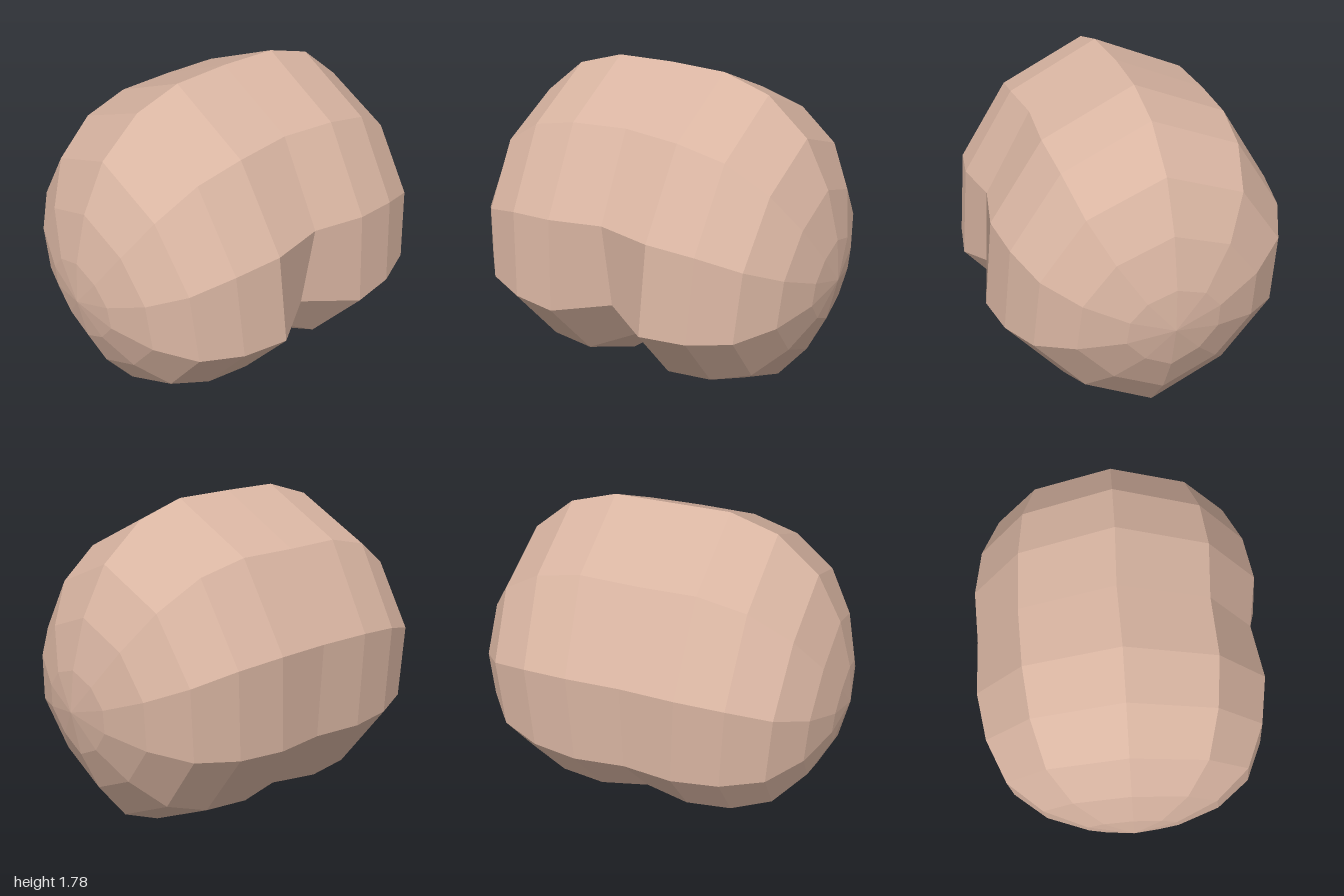
import * as THREE from 'three';

// Widest ring as [z, height above the pole], going top, front, bottom, back
const profile = [
  [-0.02, 1.0], [0.455, 0.77], [0.73, 0.34], [0.775, -0.155], [0.45, -0.54],
  [0, -0.775], [-0.47, -0.545], [-0.77, -0.16], [-0.78, 0.34], [-0.51, 0.78],
];

// Pinched ring on the middle plane as [z, y], with the notch below
const middle = [
  [-0.03, 1.785], [0.435, 1.565], [0.68, 1.13], [0.6, 0.645], [0.3, 0.33],
  [0, 0.195], [-0.41, 0.24], [-0.74, 0.62], [-0.77, 1.12], [-0.52, 1.56],
];

// Side rings: x at top, x at bottom, scale above, scale below, depth scale
const steps = [
  [0.31, 0.24, 1, 1, 1],
  [0.56, 0.48, 0.92, 0.98, 0.95],
  [0.78, 0.69, 0.73, 0.86, 0.83],
  [0.91, 0.85, 0.48, 0.59, 0.6],
  [0.98, 0.95, 0.22, 0.31, 0.31],
  [1, 1, 0, 0, 0],
];

const POLE_Y = 0.78;

function sideRing([xTop, xBottom, up, down, depth], side) {
  return profile.map(([z, h]) => {
    const t = (1 - h) / 1.775;
    return new THREE.Vector3(
      side * THREE.MathUtils.lerp(xTop, xBottom, t),
      POLE_Y + h * (h > 0 ? up : down),
      z * depth
    );
  });
}

// Skins the rings with quads, one flat normal for each quad
function skin(rings) {
  const pos = [], nor = [];
  for (let i = 0; i < rings.length - 1; i++) {
    const n = rings[i].length;
    for (let k = 0; k < n; k++) {
      const a = rings[i][k], b = rings[i][(k + 1) % n];
      const c = rings[i + 1][(k + 1) % n], d = rings[i + 1][k];
      const normal = c.clone().sub(a).cross(d.clone().sub(b)).normalize();
      for (const tri of [[a, b, c], [a, c, d]]) {
        // Skip the collapsed half of quads at the poles
        if (new THREE.Triangle(...tri).getArea() < 1e-6) continue;
        for (const p of tri) {
          pos.push(p.x, p.y, p.z);
          nor.push(normal.x, normal.y, normal.z);
        }
      }
    }
  }
  const geo = new THREE.BufferGeometry();
  geo.setAttribute('position', new THREE.Float32BufferAttribute(pos, 3));
  geo.setAttribute('normal', new THREE.Float32BufferAttribute(nor, 3));
  return geo;
}

export function createModel() {
  const skinTone = new THREE.MeshStandardMaterial({ color: 0xd9b5a2 });
  skinTone.name = 'skin tone';

  // Rings run from the right pole through the middle to the left pole
  const rings = [
    ...steps.map((s) => sideRing(s, -1)).reverse(),
    middle.map(([z, y]) => new THREE.Vector3(0, y, z)),
    ...steps.map((s) => sideRing(s, 1)),
  ];
  const body = new THREE.Mesh(skin(rings), skinTone);
  body.name = 'twoLobedBody';

  const model = new THREE.Group();
  model.name = 'roundedLobes';
  model.add(body);
  return model;
}
